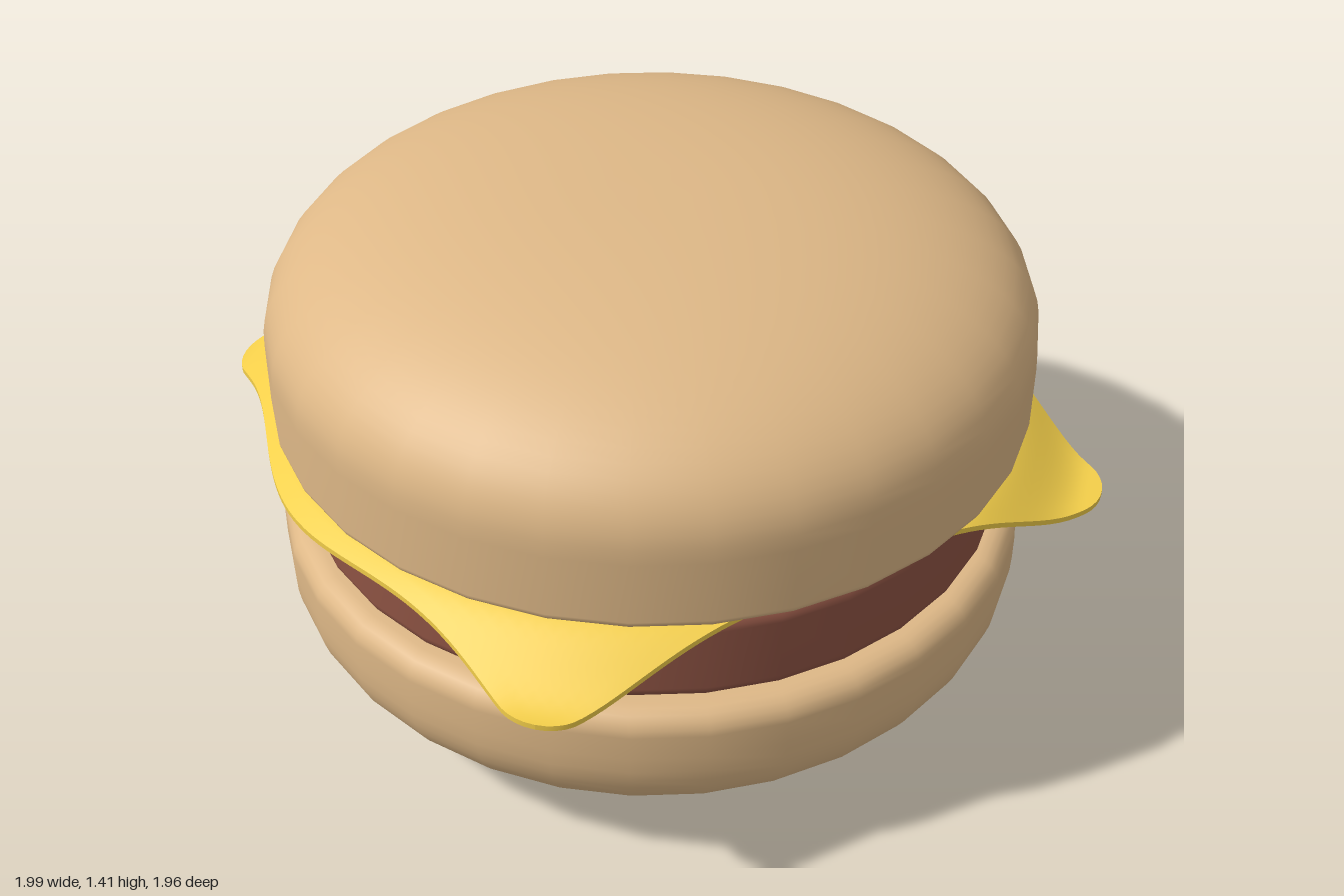
import * as THREE from 'three';

const BUN = 0xdeb887, PATTY = 0x8f5444, CHEESE = 0xf4cf4a;
const SIDES = 32;

function addMesh(group, name, geometry, color) {
  const mesh = new THREE.Mesh(geometry, new THREE.MeshStandardMaterial({ color, roughness: 0.8 }));
  mesh.name = name;
  group.add(mesh);
  return mesh;
}

// Quarter of a superellipse, from (r, y) out at the rim to (r - a, y + b).
function corner(r, y, a, b, power, steps) {
  const pts = [];
  for (let i = 0; i <= steps; i++) {
    const t = (i / steps) * Math.PI / 2;
    const c = i === steps ? 0 : Math.cos(t) ** (2 / power);
    pts.push(new THREE.Vector2(r - a + a * c, y + b * Math.sin(t) ** (2 / power)));
  }
  return pts;
}

// Bun half: flat cut face with a small rounded rim, short wall, then a dome.
// Listed upward for the crown; dir -1 mirrors it for the heel.
function bunGeometry(cutY, dir, rim, wall, dome) {
  const R = 0.98;
  const pts = [
    new THREE.Vector2(0, 0),
    new THREE.Vector2(R - rim - 0.02, 0),
    ...corner(R, -rim, rim, rim, 2, 5).reverse().map(p => new THREE.Vector2(p.x, -p.y)),
    ...corner(R, wall, R, dome, 2.4, 22),
  ].map(p => new THREE.Vector2(p.x, cutY + dir * p.y));
  return new THREE.LatheGeometry(dir > 0 ? pts : pts.reverse(), SIDES);
}

function pattyGeometry() {
  const R = 0.918, lo = 0.55, hi = 0.8, r = 0.04;
  const top = corner(R, hi - r, r, r, 2, 5);
  const bottom = top.map(p => new THREE.Vector2(p.x, lo + hi - p.y)).reverse();
  return new THREE.LatheGeometry([
    new THREE.Vector2(0, lo), new THREE.Vector2(R - r - 0.02, lo), ...bottom,
    ...top, new THREE.Vector2(R - r - 0.02, hi), new THREE.Vector2(0, hi),
  ], SIDES);
}

// Thin square slice with rounded corners that sag past the patty's rim.
function cheeseGeometry() {
  const geo = new THREE.BoxGeometry(2, 0.015, 2, 60, 1, 60);
  const pos = geo.attributes.position;
  const c = 0.15;
  for (let i = 0; i < pos.count; i++) {
    let u = pos.getX(i), v = pos.getZ(i);
    // round the corners of the square
    const a = (Math.abs(u) - 1 + c) / c, b = (Math.abs(v) - 1 + c) / c;
    if (a > 0 && b > 0) {
      u = Math.sign(u) * (1 - c + c * a * Math.sqrt(1 - b * b / 2));
      v = Math.sign(v) * (1 - c + c * b * Math.sqrt(1 - a * a / 2));
    }
    // the -x edge bulges outward at its middle
    const bulge = u < 0 ? 0.175 * u * u * Math.exp(-(((v + 0.02) / 0.52) ** 2)) : 0;
    const x = u * (u < 0 ? 0.825 : 0.875) - bulge;
    const z = v * (v < 0 ? 0.85 : 0.89);
    // sag grows with the distance from the centre
    const sag = 0.125 * THREE.MathUtils.smoothstep(Math.hypot(x, z), 0.9, 1.15);
    pos.setXYZ(i, x, pos.getY(i) + 0.822 - sag, z);
  }
  geo.computeVertexNormals();
  return geo;
}

export function createModel() {
  const model = new THREE.Group();
  model.name = 'burger';

  const bottomBun = addMesh(model, 'bottomBun', bunGeometry(0.55, -1, 0.06, 0.13, 0.42), BUN);
  const patty = addMesh(model, 'patty', pattyGeometry(), PATTY);
  addMesh(model, 'cheeseSlice', cheeseGeometry(), CHEESE);
  const topBun = addMesh(model, 'topBun', bunGeometry(0.835, 1, 0.025, 0.195, 0.38), BUN);

  // the round layers sit slightly off centre
  for (const part of [bottomBun, patty, topBun]) part.position.x = 0.015;
  return model;
}
